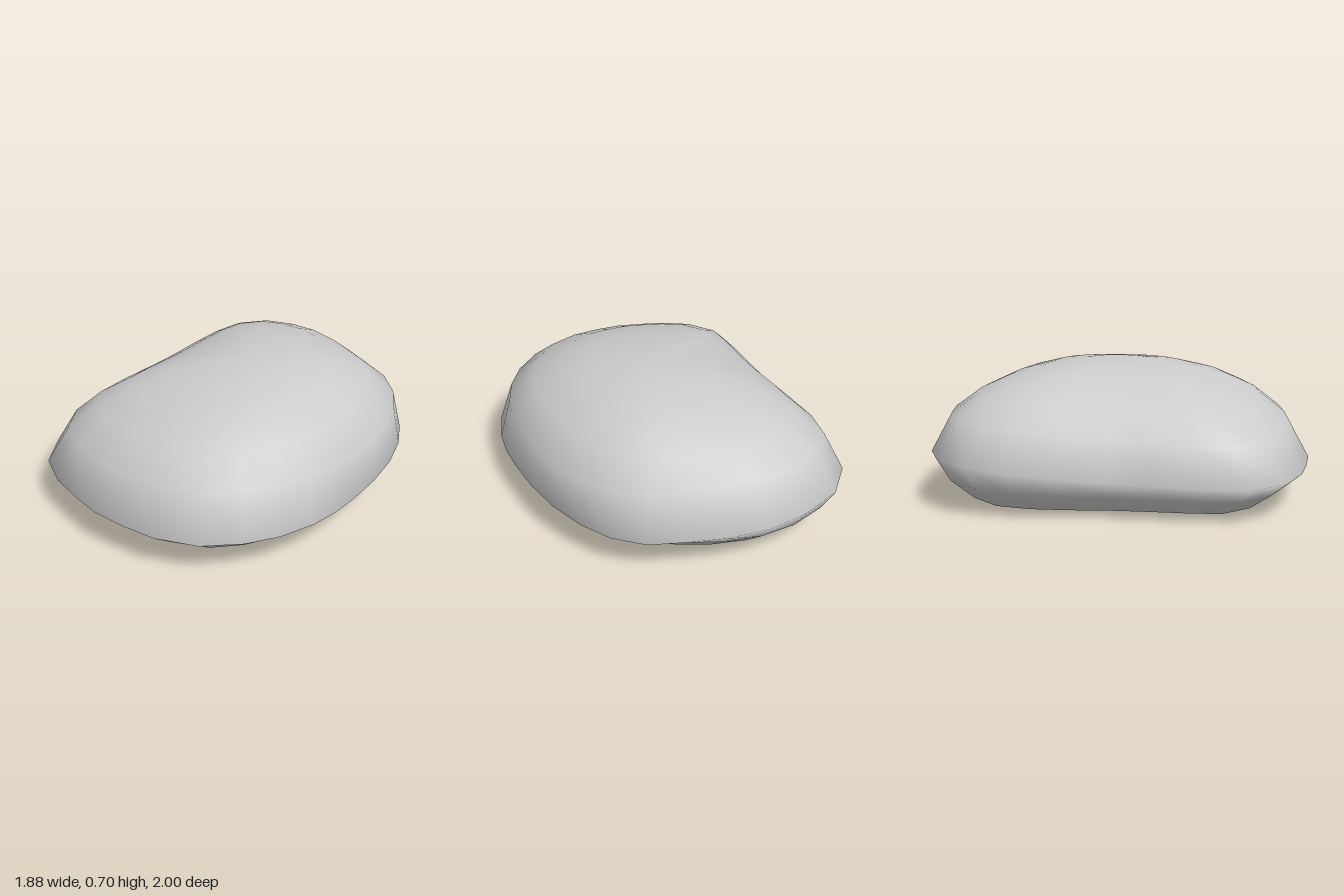
import * as THREE from 'three';
import { mergeVertices } from 'three/addons/utils/BufferGeometryUtils.js';

// Widest outline of the stone, as x, z pairs, clockwise from the back
const OUTLINE = [
  [0.26, -1], [0.46, -0.92], [0.62, -0.8], [0.75, -0.63], [0.84, -0.46], [0.92, -0.3],
  [0.94, -0.12], [0.91, 0.06], [0.84, 0.25], [0.74, 0.43], [0.62, 0.6], [0.52, 0.72],
  [0.41, 0.82], [0.25, 0.92], [0.08, 0.98], [-0.13, 1], [-0.34, 0.94], [-0.5, 0.84],
  [-0.64, 0.73], [-0.75, 0.6], [-0.86, 0.45], [-0.94, 0.26], [-0.92, 0.04], [-0.78, -0.12],
  [-0.58, -0.32], [-0.45, -0.46], [-0.28, -0.67], [-0.13, -0.84], [0.04, -0.97],
];

// Rings from the crown to the underside: scale of the outline, height
const TOP = [[0, 0.703], [0.2, 0.694], [0.4, 0.668], [0.58, 0.622], [0.75, 0.545], [0.89, 0.435]];
const RIM = [[1, 0.2]];
const BOTTOM = [[0.91, 0.12], [0.8, 0.036], [0.62, 0.006], [0.4, 0.01], [0.2, 0.022], [0, 0.028]];

const CENTRE = [0.08, 0.02];

// One point of the stone on a ring, in the direction of an outline point
function surfacePoint([ox, oz], [scale, height], isTop, isBottom) {
  const dx = ox - CENTRE[0], dz = oz - CENTRE[1];
  const length = Math.hypot(dx, dz);
  const shoulder = Math.max(0, (0.906 * dx + 0.423 * dz) / length) ** 2;
  const back = Math.max(0, -dz / length) ** 2;

  // The left shoulder is steep, and the back is full below the rim
  let s = scale;
  if (isTop) s += 0.11 * shoulder * scale ** 4;
  if (isBottom) s += 0.03 * back * scale ** 4;
  const x = CENTRE[0] + dx * s;
  const z = CENTRE[1] + dz * s;

  let y = height;
  if (isTop) {
    // The crown leans down to the right
    const lean = x - CENTRE[0];
    y += (0.055 * lean - 0.035 * lean ** 2) * (1 - 0.5 * scale ** 4);
    y -= 0.06 * shoulder * scale ** 4;
  }
  if (isBottom) {
    // The underside lifts towards the front left
    y += 0.045 * Math.max(0, x) ** 2 + 0.025 * Math.max(0, x + z) ** 2;
  }
  // The rim rises towards the back
  y += 0.08 * Math.max(0, -z) ** 2 * scale ** 8;
  return [x, y, z];
}

function pebbleGeometry() {
  const rings = [...TOP, ...RIM, ...BOTTOM];
  const n = OUTLINE.length;
  const last = rings.length - 2;
  const positions = [];
  const index = [];

  rings.forEach((ring, r) => {
    for (const point of OUTLINE) {
      positions.push(...surfacePoint(point, ring, r < TOP.length, r > TOP.length));
    }
  });

  // Quads between rings, single triangles at the two poles
  for (let r = 0; r <= last; r++) {
    for (let i = 0; i < n; i++) {
      const a = r * n + i, b = r * n + (i + 1) % n;
      const c = a + n, d = b + n;
      if (r === 0) index.push(a, d, c);
      else if (r === last) index.push(a, b, c);
      else index.push(a, b, c, b, d, c);
    }
  }

  let geometry = new THREE.BufferGeometry();
  geometry.setAttribute('position', new THREE.Float32BufferAttribute(positions, 3));
  geometry.setIndex(index);
  // Join the points at both poles so the shading stays smooth
  geometry = mergeVertices(geometry, 1e-4);
  geometry.computeBoundingBox();
  geometry.translate(0, -geometry.boundingBox.min.y, 0);
  geometry.computeVertexNormals();
  return geometry;
}

export function createModel() {
  const group = new THREE.Group();
  group.name = 'pebble';
  const stone = new THREE.Mesh(pebbleGeometry(), new THREE.MeshStandardMaterial({ color: 0xcccccc }));
  stone.name = 'stone';
  group.add(stone);
  return group;
}
